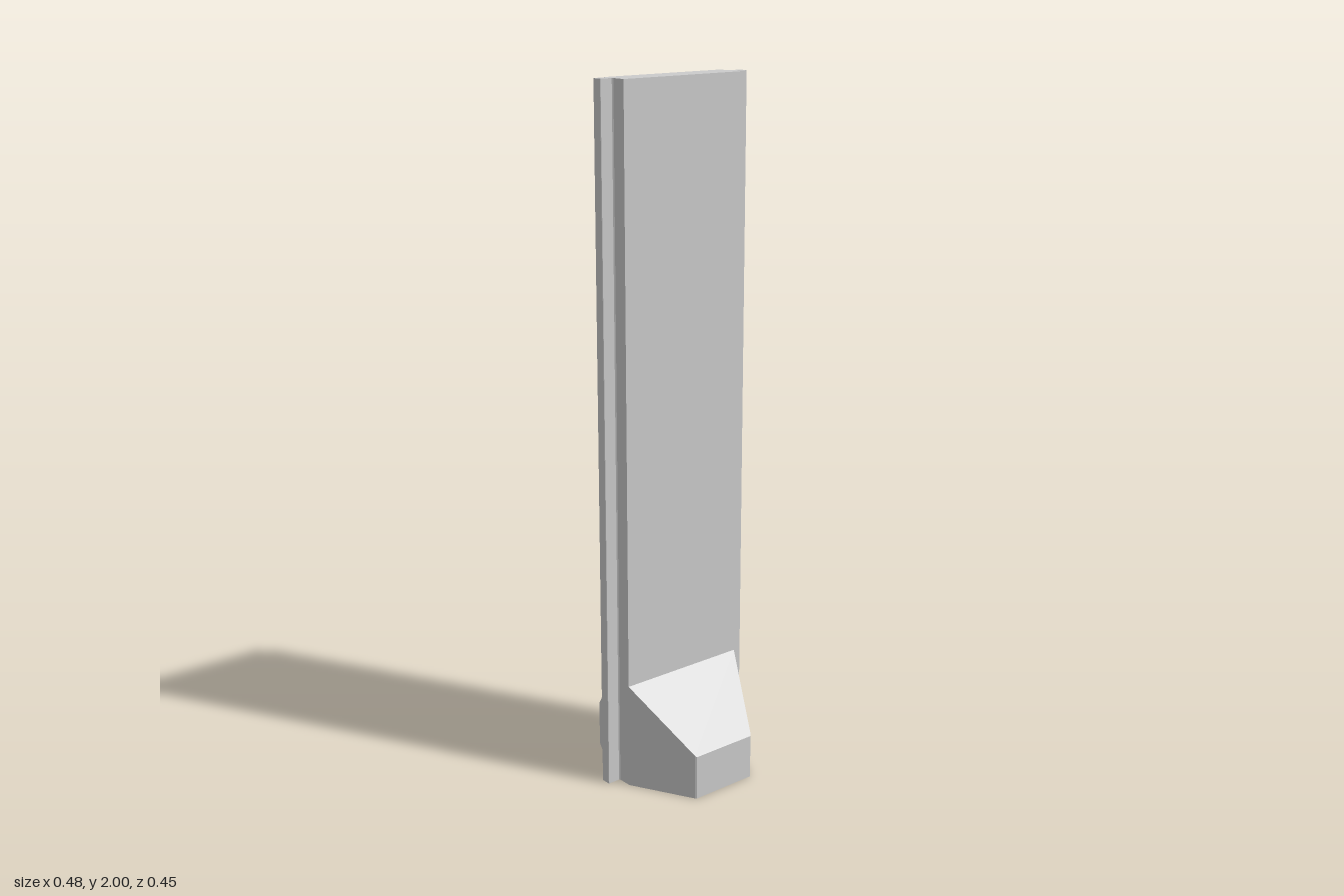
import * as THREE from 'three';

const material = new THREE.MeshStandardMaterial({ color: 0xcccccc, flatShading: true });

// Extrudes a plan outline of [x, z] points upward from y = 0.
function extrudePlan(points, height) {
  const shape = new THREE.Shape(points.map(([x, z]) => new THREE.Vector2(x, -z)));
  const geometry = new THREE.ExtrudeGeometry(shape, { depth: height, bevelEnabled: false });
  return geometry.rotateX(-Math.PI / 2);
}

function addPart(group, name, geometry) {
  const mesh = new THREE.Mesh(geometry, material);
  mesh.name = name;
  group.add(mesh);
}

export function createModel() {
  const group = new THREE.Group();
  group.name = 'interlockingPanel';
  const W = 0.2, T = 0.041, H = 2, TIP = 0.24, F = 0.003;

  // Edge flange profile: small chamfers at the root and at the tip.
  const flange = (side, z0, z1) => [
    [side * W, z1 + F], [side * (W + F), z1], [side * (TIP - 0.001), z1], [side * TIP, z1 - 0.001],
    [side * TIP, z0 + 0.001], [side * (TIP - 0.001), z0], [side * (W + F), z0], [side * W, z0 - F],
  ];

  // Full-height panel with an offset flange along each edge
  const plan = [
    [-W, T], [W, T],
    ...flange(1, -0.006, 0.0235),
    [W, -T], [-W, -T],
    ...flange(-1, -0.0335, -0.004).reverse(),
  ];
  addPart(group, 'panel', extrudePlan(plan, H));

  // Tapered foot on each face, its top sloping down and outward
  const OUT = 0.2255, NOSE = 0.106, LOW = 0.13, HIGH = 0.31;
  const footPlan = [[-W, T], [W, T], [NOSE, OUT - 0.004], [NOSE - 0.004, OUT], [-NOSE + 0.004, OUT], [-NOSE, OUT - 0.004]];
  for (const [name, turn] of [['frontFoot', 0], ['backFoot', Math.PI]]) {
    const geometry = extrudePlan(footPlan, 1);
    const p = geometry.attributes.position;
    for (let i = 0; i < p.count; i++) {
      if (p.getY(i) > 0.5) p.setY(i, HIGH + (LOW - HIGH) * (p.getZ(i) - T) / (OUT - T));
    }
    geometry.rotateY(turn);
    geometry.computeVertexNormals();
    addPart(group, name, geometry);
  }
  return group;
}
